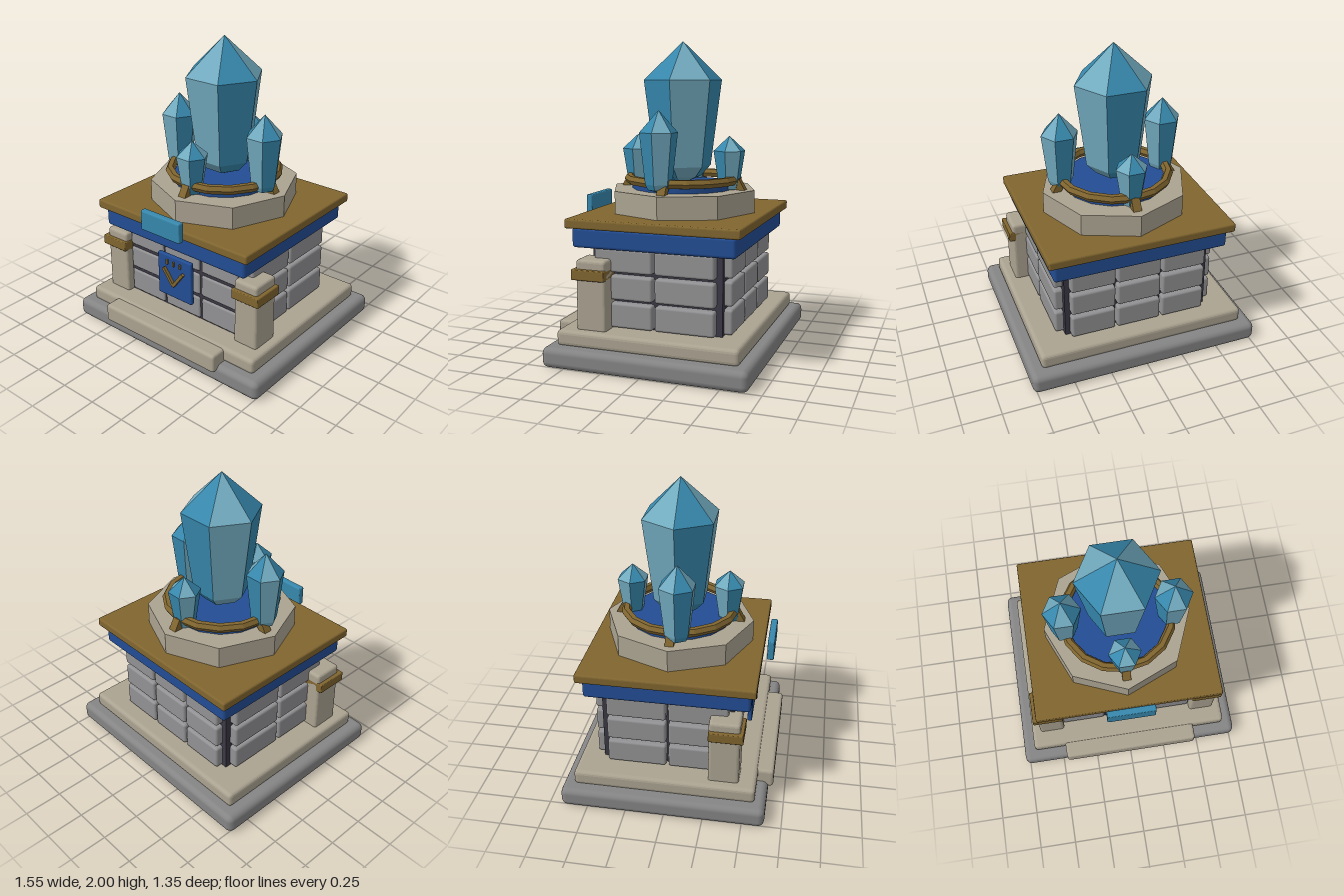
import * as THREE from 'three';
import { RoundedBoxGeometry } from 'three/addons/geometries/RoundedBoxGeometry.js';

const mat = (name, color, flatShading = false) => {
  const m = new THREE.MeshStandardMaterial({ color, flatShading });
  m.name = name;
  return m;
};

export function createModel() {
  const root = new THREE.Group();
  root.name = 'crystalShrine';

  const baseGrey = mat('base grey', 0x858585);
  const blockGrey = mat('block grey', 0x929294);
  const mortar = mat('dark mortar', 0x3b3844);
  const sandstone = mat('sandstone', 0xaba391, true);
  const gold = mat('old gold', 0x80652f, true);
  const navy = mat('navy blue', 0x224d94);
  const crystalBlue = mat('crystal blue', 0x3788ad, true);
  const crystalLight = mat('crystal pale blue', 0x72abc0, true);

  const add = (name, geo, material, parent = root) => {
    const m = new THREE.Mesh(geo, material);
    m.name = name;
    parent.add(m);
    return m;
  };

  // Box given by its extents; r > 0 rounds the edges
  const box = (name, material, [x0, x1], [y0, y1], [z0, z1], r = 0, parent = root) => {
    const s = [x1 - x0, y1 - y0, z1 - z0];
    const geo = r ? new RoundedBoxGeometry(...s, 2, r) : new THREE.BoxGeometry(...s);
    const m = add(name, geo, material, parent);
    m.position.set((x0 + x1) / 2, (y0 + y1) / 2, (z0 + z1) / 2);
    return m;
  };

  // Stepped plinth
  box('basePlinth', baseGrey, [-0.775, 0.775], [0, 0.13], [-0.672, 0.642], 0.04);
  box('upperPlinth', sandstone, [-0.695, 0.695], [0.125, 0.225], [-0.597, 0.573], 0.025);
  box('frontStep', sandstone, [-0.47, 0.47], [0.09, 0.215], [0.53, 0.675], 0.02);

  // Wall core with stone blocks on each face
  box('wallCore', mortar, [-0.49, 0.49], [0.2, 0.74], [-0.438, 0.41]);
  const blocks = new THREE.Group();
  blocks.name = 'wallBlocks';
  root.add(blocks);
  for (const row of [[0.23, 0.387], [0.407, 0.56], [0.58, 0.728]]) {
    for (const c of [-0.31, 0, 0.31]) {
      const span = [c - 0.148, c + 0.148];
      box('frontBlock', blockGrey, span, row, [0.34, 0.422], 0.016, blocks);
      box('backBlock', blockGrey, span, row, [-0.49, -0.41], 0.016, blocks);
    }
    for (const c of [-0.21, 0.188]) {
      const span = [c - 0.191, c + 0.191];
      box('leftBlock', blockGrey, [0.46, 0.545], row, span, 0.016, blocks);
      box('rightBlock', blockGrey, [-0.545, -0.46], row, span, 0.016, blocks);
    }
  }

  // Front corner pillars with gold bands
  for (const s of [-1, 1]) {
    const span = (a, b) => (s > 0 ? [a, b] : [-b, -a]);
    box('cornerPillar', sandstone, span(0.46, 0.635), [0.21, 0.665], [0.265, 0.463], 0.02);
    box('pillarBand', gold, span(0.455, 0.66), [0.54, 0.607], [0.265, 0.485], 0.008);
  }

  // Front banner with chevron and three ticks
  box('banner', navy, [-0.142, 0.142], [0.36, 0.663], [0.465, 0.495], 0.01);
  for (const s of [-1, 1]) {
    const bar = add('bannerChevron', new THREE.BoxGeometry(0.02, 0.14, 0.025), gold);
    bar.position.set(s * 0.04, 0.515, 0.503);
    bar.rotation.z = -s * 0.64;
  }
  for (const x of [-0.055, 0, 0.055])
    box('bannerTick', gold, [x - 0.006, x + 0.006], [0.6, 0.632], [0.49, 0.508]);

  // Cornice, roof slab and plaque
  box('cornice', navy, [-0.578, 0.578], [0.725, 0.852], [-0.54, 0.515], 0.02);
  box('roofSlab', gold, [-0.617, 0.617], [0.85, 0.91], [-0.577, 0.547], 0.012);
  box('frontPlaque', crystalBlue, [-0.16, 0.16], [0.862, 0.997], [0.573, 0.617], 0.01);

  // Octagonal pedestal, basin and ring
  const top = new THREE.Group();
  top.name = 'pedestal';
  top.position.z = -0.015;
  root.add(top);
  add('octagonBase', new THREE.CylinderGeometry(0.483, 0.483, 0.15, 8), sandstone, top).position.y = 0.98;
  add('basin', new THREE.CylinderGeometry(0.335, 0.335, 0.04, 16), navy, top).position.y = 1.065;
  const ring = add('goldRing', new THREE.TorusGeometry(0.355, 0.031, 6, 16), gold, top);
  ring.rotation.x = Math.PI / 2;
  ring.position.y = 1.117;

  // Sloping claws holding the ring
  for (let i = 0; i < 4; i++) {
    const arm = new THREE.Group();
    arm.name = 'ringClaw';
    arm.rotation.y = i * Math.PI / 2;
    top.add(arm);
    const claw = add('claw', new THREE.BoxGeometry(0.05, 0.09, 0.055), gold, arm);
    claw.position.set(0.385, 1.075, 0);
    claw.rotation.z = 0.5;
  }

  // Six-sided crystal whose facets alternate between two blues
  const crystal = (name, x, z, profile) => {
    const g = new THREE.Group();
    g.name = name;
    g.position.set(x, 0, z);
    const pts = profile.map(([r, y]) => new THREE.Vector2(r, y));
    for (let i = 0; i < 6; i++) {
      const geo = new THREE.LatheGeometry(pts, 1, -Math.PI / 6 + i * Math.PI / 3, Math.PI / 3);
      add('facet', geo, i % 2 ? crystalBlue : crystalLight, g);
    }
    root.add(g);
  };
  crystal('mainCrystal', 0, -0.013,
    [[0, 1.08], [0.12, 1.13], [0.185, 1.2], [0.257, 1.755], [0, 2]]);
  for (const s of [-1, 1])
    crystal('sideCrystal', s * 0.348, 0.024,
      [[0, 1.06], [0.07, 1.08], [0.085, 1.115], [0.121, 1.435], [0, 1.572]]);
  for (const z of [0.303, -0.328])
    crystal('smallCrystal', 0, z,
      [[0, 1.04], [0.062, 1.06], [0.07, 1.09], [0.104, 1.305], [0, 1.4]]);

  return root;
}
